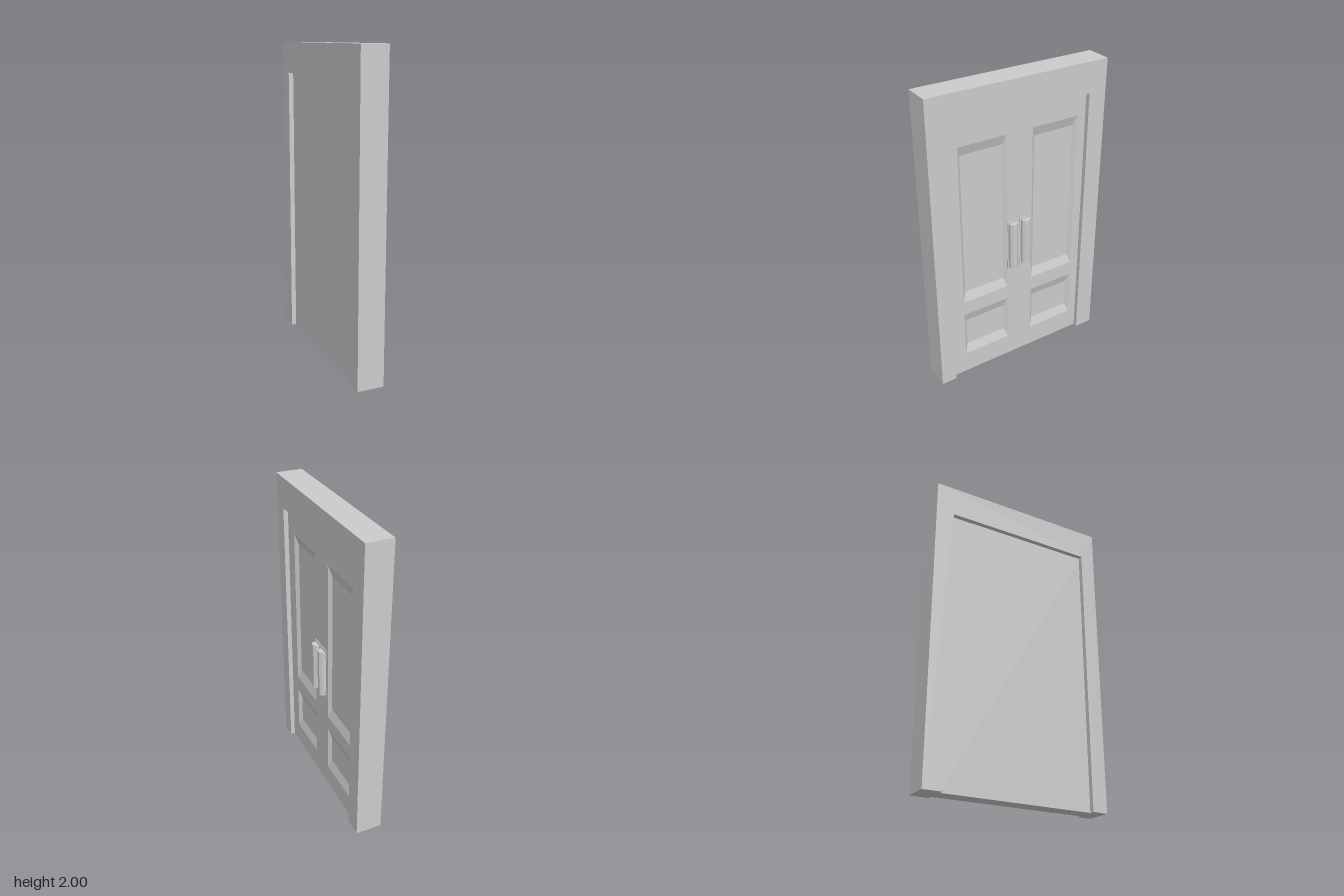
import * as THREE from 'three';

const material = new THREE.MeshStandardMaterial({ color: 0xcccccc, flatShading: true });

function addMesh(parent, name, geometry, x = 0, y = 0, z = 0) {
  const mesh = new THREE.Mesh(geometry, material);
  mesh.name = name;
  mesh.position.set(x, y, z);
  parent.add(mesh);
  return mesh;
}

const rectPoints = (x0, x1, y0, y1) =>
  [[x0, y0], [x1, y0], [x1, y1], [x0, y1]].map(([x, y]) => new THREE.Vector2(x, y));

// Four sloping sides leading from the panel opening down to its sunken floor
function bevelGeometry([x0, x1, y0, y1], insetX, insetY, front, back) {
  const outer = rectPoints(x0, x1, y0, y1);
  const inner = rectPoints(x0 + insetX, x1 - insetX, y0 + insetY, y1 - insetY);
  const positions = [];
  for (let i = 0; i < 4; i++) {
    const j = (i + 1) % 4;
    const a = [outer[i].x, outer[i].y, front], b = [outer[j].x, outer[j].y, front];
    const c = [inner[j].x, inner[j].y, back], d = [inner[i].x, inner[i].y, back];
    positions.push(...a, ...b, ...c, ...a, ...c, ...d);
  }
  const geometry = new THREE.BufferGeometry();
  geometry.setAttribute('position', new THREE.Float32BufferAttribute(positions, 3));
  geometry.computeVertexNormals();
  return geometry;
}

export function createModel() {
  const model = new THREE.Group();
  model.name = 'doorway';

  // Built facing +z, then turned so the panelled face looks toward +x
  const door = new THREE.Group();
  door.name = 'panelledDoor';
  door.rotation.y = Math.PI / 2;
  model.add(door);

  // Surrounding frame, open at the bottom
  const left = -0.51, right = 0.49, top = 1.8;
  const frameShape = new THREE.Shape([
    [-0.612, 0], [left, 0], [left, top], [right, top],
    [right, 0], [0.612, 0], [0.612, 2], [-0.612, 2],
  ].map(([x, y]) => new THREE.Vector2(x, y)));
  addMesh(door, 'frame',
    new THREE.ExtrudeGeometry(frameShape, { depth: 0.172, bevelEnabled: false }), 0, 0, -0.092);

  // Door leaf: plain core with a front layer cut out for the panels
  const front = 0.05, floor = 0.03, back = -0.06;
  const width = right - left, middle = (left + right) / 2;
  addMesh(door, 'leafCore', new THREE.BoxGeometry(width, top, floor - back),
    middle, top / 2, (floor + back) / 2);

  const columns = [[-0.412, -0.082], [0.1, 0.43]];
  const rows = [[0.15, 0.475], [0.575, 1.66]];
  const leafShape = new THREE.Shape(rectPoints(left, right, 0, top));
  for (const column of columns) {
    for (const row of rows) {
      const panel = [...column, ...row];
      leafShape.holes.push(new THREE.Path(rectPoints(...panel)));
      addMesh(door, 'panelBevel', bevelGeometry(panel, 0.023, 0.064, front, floor));
    }
  }
  addMesh(door, 'leafFront',
    new THREE.ExtrudeGeometry(leafShape, { depth: front - floor, bevelEnabled: false }), 0, 0, floor);

  // Pair of upright pulls with mounting plates at both ends
  for (const x of [-0.047, 0.046]) {
    const handle = new THREE.Group();
    handle.name = 'handle';
    handle.position.set(x, 0.892, 0);
    door.add(handle);
    const grip = new THREE.CylinderGeometry(0.0312, 0.0312, 0.324, 8);
    grip.rotateY(Math.PI / 8);
    addMesh(handle, 'grip', grip, 0, 0, 0.062);
    for (const side of [-1, 1]) {
      addMesh(handle, 'mountingPlate', new THREE.BoxGeometry(0.074, 0.066, 0.016),
        0, side * 0.143, 0.048);
    }
  }

  return model;
}
